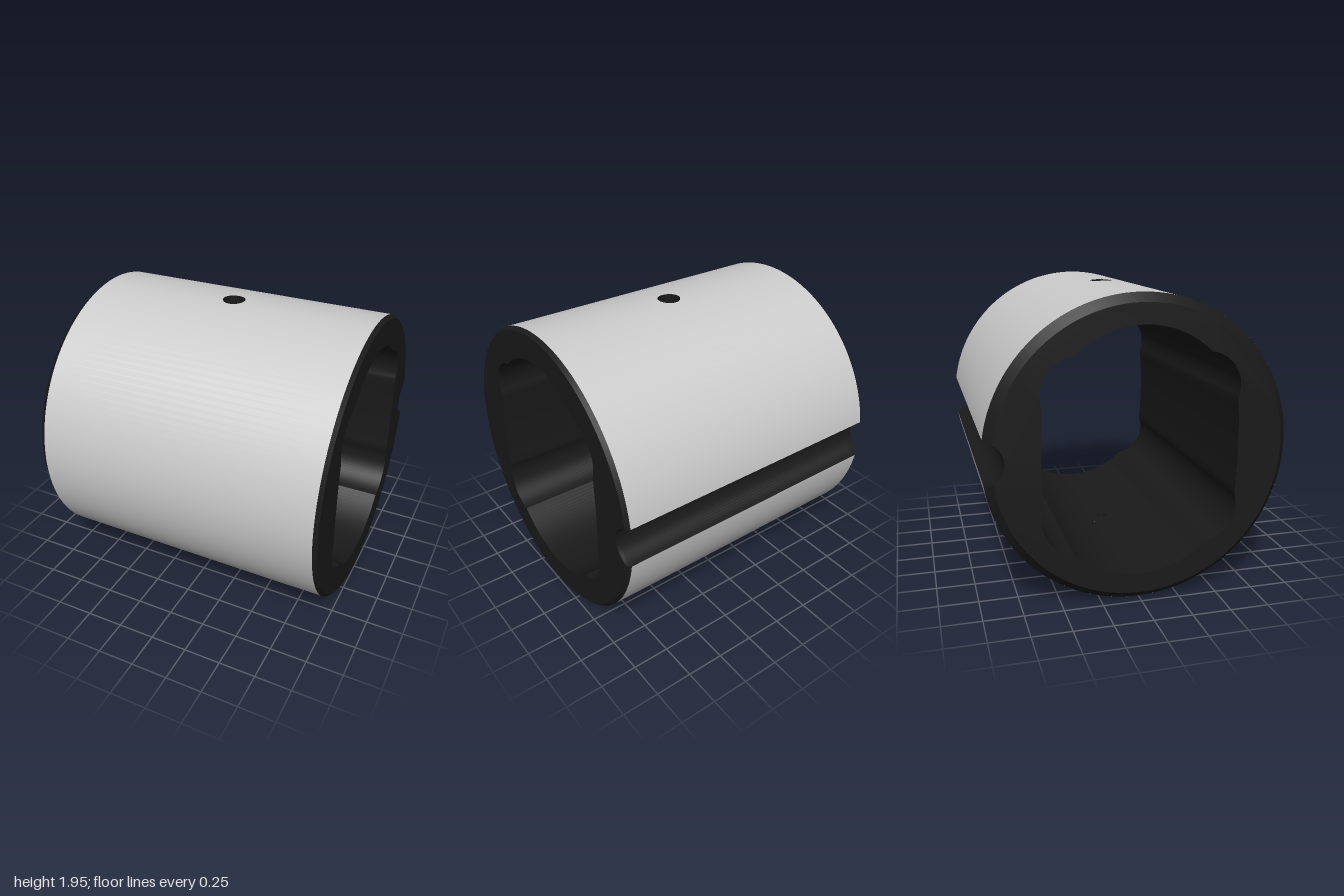
import * as THREE from 'three';
import { ParametricGeometry } from 'three/addons/geometries/ParametricGeometry.js';
import { toCreasedNormals } from 'three/addons/utils/BufferGeometryUtils.js';

const { sin, cos, PI, sqrt, asin, acos, abs, max } = Math;
const lerp = THREE.MathUtils.lerp;

const grey = new THREE.MeshStandardMaterial({ color: 0xcccccc, side: THREE.DoubleSide });
const dark = new THREE.MeshStandardMaterial({ color: 0x1a1a1a, side: THREE.DoubleSide });

// Sleeve sections along x: [x, outer radius]; the first and last spans are chamfers
const sections = [[-1, 0.91], [-0.94, 0.964], [0.975, 0.9725], [1, 0.95]];
const [, [xa, ra], [xb, rb]] = sections;
const radiusAt = x => lerp(ra, rb, (x - xa) / (xb - xa));

const grooveZ = 0.975, grooveR = 0.14;                 // keyway circle
const holeX = 0.005, boreR = 0.075, drillR = 0.035;    // stepped radial hole
const stepY = 0.86, patch = 0.12;                      // step height, half size of holed patch

// Half angle that the keyway takes out of a circle of radius r
const grooveAngle = r => acos((grooveZ ** 2 + r * r - grooveR ** 2) / (2 * grooveZ * r));
const grooveSpan = r => Math.atan2(r * sin(grooveAngle(r)), grooveZ - r * cos(grooveAngle(r)));
const outerY = (x, z) => sqrt(radiusAt(x) ** 2 - z * z);
const innerY = (x, z) => 0.164 + sqrt(0.616 ** 2 - z * z);

// Surface from a rule f(u, v) -> [x, y, z]
function sheet(f, nu, nv, flip = false) {
  return new ParametricGeometry((u, v, p) => p.set(...f(flip ? 1 - u : u, v)), nu, nv);
}

function add(group, name, geometry, material) {
  const mesh = new THREE.Mesh(geometry, material);
  mesh.name = name;
  group.add(mesh);
}

// Quarter of the bore outline as [z, y], from the crown to the side
function boreQuarter() {
  const pts = [];
  for (let i = 0; i <= 16; i++) {
    const z = lerp(patch, 0.43, i / 16);
    pts.push([z, innerY(0, z)]);
  }
  for (let i = 1; i <= 20; i++) {                      // corner lobe
    const a = lerp(1.435, -0.364, i / 20);
    pts.push([0.4 + 0.223 * cos(a), 0.385 + 0.223 * sin(a)]);
  }
  for (let i = 1; i <= 6; i++) {                       // slightly bowed side
    const y = 0.305 * (1 - i / 6);
    pts.push([0.622 - 0.014 * (y / 0.305) ** 2, y]);
  }
  return pts;
}

const quarter = boreQuarter();
const halfBore = [...quarter, ...quarter.slice(0, -1).reverse().map(([z, y]) => [z, -y])];
const crown = [];
for (let i = 1; i < 12; i++) {
  const z = lerp(-patch, patch, i / 12);
  crown.push([z, innerY(0, z)]);
}
const fullBore = [...crown, ...halfBore,
  ...crown.map(([z, y]) => [-z, -y]), ...halfBore.map(([z, y]) => [-z, -y])];

// Square piece of a surface with a round opening
const holedPatch = (height, r, flip) => sheet((u, v) => {
  const c = cos(2 * PI * u), s = sin(2 * PI * u);
  const d = lerp(patch / max(abs(c), abs(s)), r, v);
  const x = holeX + d * s, z = d * c;
  return [x, height(x, z), z];
}, 48, 3, flip);

// Wall of a round radial hole between two heights
const holeWall = (r, top, bottom) => sheet((u, v) => {
  const x = holeX + r * sin(2 * PI * u), z = r * cos(2 * PI * u);
  return [x, lerp(top(x, z), bottom(x, z), v), z];
}, 48, 1);

const crownStrip = (height, x0, x1, flip) => sheet((u, v) => {
  const x = lerp(x0, x1, v), z = lerp(-patch, patch, u);
  return [x, height(x, z), z];
}, 12, 1, flip);

// Crown with radial hole plus one side of the bore
function createHalf() {
  const half = new THREE.Group();
  half.name = 'crownHalf';
  const step = () => stepY;
  const surfaces = [['outerCrown', outerY, xa, xb, boreR, false, grey],
    ['boreCrown', innerY, -1, 1, drillR, true, dark]];
  for (const [name, height, x0, x1, r, flip, mat] of surfaces) {
    add(half, name, crownStrip(height, x0, holeX - patch, flip), mat);
    add(half, name, crownStrip(height, holeX + patch, x1, flip), mat);
    add(half, name + 'Opening', holedPatch(height, r, flip), mat);
  }
  add(half, 'counterbore', holeWall(boreR, outerY, step), dark);
  add(half, 'drillHole', holeWall(drillR, step, innerY), dark);
  const ring = new THREE.RingGeometry(drillR, boreR, 48).rotateX(-PI / 2).translate(holeX, stepY, 0);
  add(half, 'counterboreFloor', ring, dark);

  const n = halfBore.length - 1;
  const side = sheet((u, v) => {
    const [z, y] = halfBore[THREE.MathUtils.clamp(Math.round(u * n), 0, n)];
    return [lerp(-1, 1, v), y, z];
  }, n, 1, true);
  add(half, 'boreSide', toCreasedNormals(side, 0.4), dark);
  return half;
}

// Part of the outer surface between two angles, which depend on the radius
const outerSheet = ([x0, r0], [x1, r1], from, to, n) => sheet((u, v) => {
  const r = lerp(r0, r1, v), a = lerp(from(r), to(r), u);
  return [lerp(x0, x1, v), r * cos(a), r * sin(a)];
}, n, 1);

// Flat end face: notched disc with the bore cut out
function endFace(r, sign) {
  const outline = [], phi = grooveAngle(r), span = grooveSpan(r);
  for (let i = 0; i <= 128; i++) {
    const a = lerp(-PI / 2 + phi, 1.5 * PI - phi, i / 128);
    outline.push([r * sin(a), r * cos(a)]);
  }
  for (let i = 1; i < 24; i++) {
    const b = lerp(-span, span, i / 24);
    outline.push([grooveR * cos(b) - grooveZ, grooveR * sin(b)]);
  }
  const flat = pts => pts.map(([z, y]) => new THREE.Vector2(-sign * z, y));
  const shape = new THREE.Shape(flat(outline));
  shape.holes.push(new THREE.Path(flat(fullBore)));
  return new THREE.ShapeGeometry(shape).rotateY(sign * PI / 2).translate(sign, 0, 0);
}

export function createModel() {
  const sleeve = new THREE.Group();
  sleeve.name = 'sleeve';

  // Upper and lower crowns
  const top = createHalf(), bottom = createHalf();
  bottom.rotation.x = PI;
  sleeve.add(top, bottom);

  // Outer walls: front, then above and below the keyway
  const edge = r => asin(patch / r);
  const walls = [
    ['frontWall', edge, r => PI - edge(r), 64],
    ['upperBackWall', r => -PI / 2 + grooveAngle(r), r => -edge(r), 32],
    ['lowerBackWall', r => -PI + edge(r), r => -PI / 2 - grooveAngle(r), 32],
  ];
  for (const [name, from, to, n] of walls) {
    add(sleeve, name, outerSheet(sections[1], sections[2], from, to, n), grey);
  }

  // Chamfers at both ends
  for (const i of [0, 2]) {
    add(sleeve, 'chamfer', outerSheet(sections[i], sections[i + 1],
      r => -PI / 2 + grooveAngle(r), r => 1.5 * PI - grooveAngle(r), 128), dark);
  }

  // Round keyway along the back
  for (let i = 0; i < 3; i++) {
    const [x0, r0] = sections[i], [x1, r1] = sections[i + 1];
    add(sleeve, 'keyway', sheet((u, v) => {
      const b = (2 * u - 1) * grooveSpan(lerp(r0, r1, v));
      return [lerp(x0, x1, v), grooveR * sin(b), grooveR * cos(b) - grooveZ];
    }, 24, 1), dark);
  }

  add(sleeve, 'rightEndFace', endFace(sections[0][1], -1), dark);
  add(sleeve, 'leftEndFace', endFace(sections[3][1], 1), dark);

  sleeve.position.set(0, rb, -0.005);
  const model = new THREE.Group();
  model.name = 'bushing';
  model.add(sleeve);
  return model;
}
